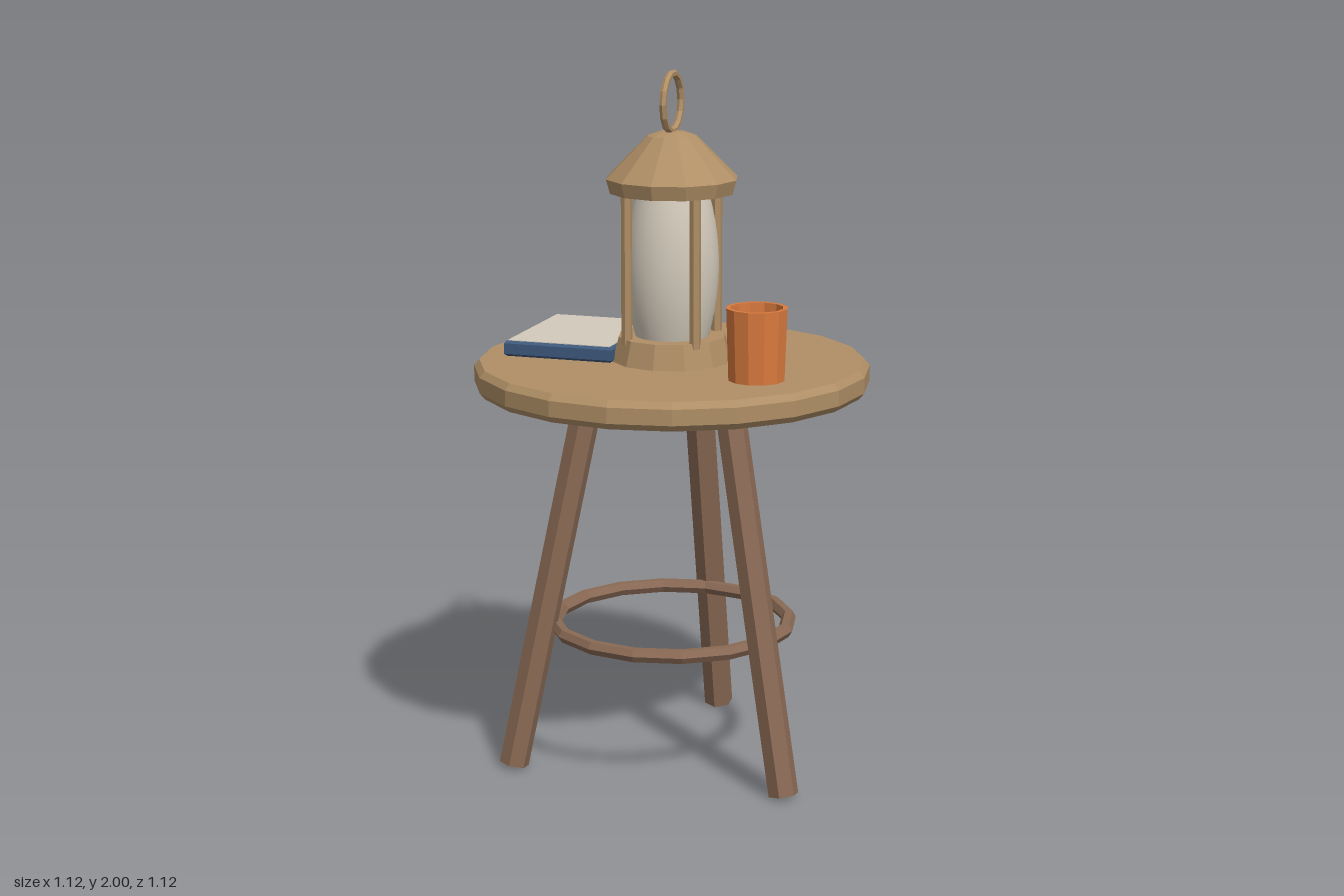
import * as THREE from 'three';

function material(name, color, flatShading = true) {
  const m = new THREE.MeshStandardMaterial({ color, flatShading });
  m.name = name;
  return m;
}

// Turned solid from a [radius, height] profile listed from the bottom up
function turned(profile, sides) {
  return new THREE.LatheGeometry(profile.map(([r, y]) => new THREE.Vector2(r, y)), sides);
}

export function createModel() {
  const model = new THREE.Group();
  model.name = 'sideTableWithLantern';
  const tan = material('tan', 0xb08f66);
  const brown = material('brown', 0x8a6a55);
  const orange = material('orange', 0xda7a3e);
  const navy = material('navy', 0x3f5a7d);
  const cream = material('cream', 0xd3cabb, false);

  function add(parent, name, geometry, mat, x = 0, y = 0, z = 0) {
    const mesh = new THREE.Mesh(geometry, mat);
    mesh.name = name;
    mesh.position.set(x, y, z);
    parent.add(mesh);
    return mesh;
  }

  // Table top with chamfered rim
  add(model, 'tableTop', turned(
    [[0, 1.105], [0.545, 1.105], [0.56, 1.123], [0.56, 1.167], [0.545, 1.185], [0, 1.185]], 20), tan);

  // Three splayed hexagonal legs
  const footR = 0.467, topR = 0.232, footY = 0.009, topY = 1.12;
  const run = footR - topR, rise = topY - footY;
  for (let i = 0; i < 3; i++) {
    const side = new THREE.Group();
    side.name = 'legMount';
    side.rotation.y = Math.PI / 3 + i * Math.PI * 2 / 3;
    model.add(side);
    const leg = add(side, 'leg', new THREE.CylinderGeometry(0.043, 0.043, Math.hypot(run, rise), 6),
      brown, 0, (footY + topY) / 2, (footR + topR) / 2);
    leg.rotation.x = -Math.atan2(run, rise);
  }

  // Ring joining the legs
  const brace = add(model, 'legRing', new THREE.TorusGeometry(0.34, 0.021, 6, 16), brown, 0, 0.413, 0);
  brace.rotation.x = Math.PI / 2;

  // Lantern
  const lantern = new THREE.Group();
  lantern.name = 'lantern';
  model.add(lantern);
  add(lantern, 'lanternBase', new THREE.CylinderGeometry(0.153, 0.172, 0.07, 12), tan, 0, 1.22, 0);
  const glass = [];
  for (let i = 0; i <= 10; i++) {
    const t = i / 5 - 1;
    glass.push([0.132 - 0.03 * t * t, 1.455 + 0.21 * t]);
  }
  add(lantern, 'lanternGlass', turned(glass, 24), cream);
  for (const x of [-0.1, 0.1]) {
    for (const z of [-0.1, 0.1]) {
      add(lantern, 'lanternPost', new THREE.CylinderGeometry(0.016, 0.016, 0.43, 6), tan, x, 1.455, z);
    }
  }
  add(lantern, 'lanternRoof', turned(
    [[0, 1.66], [0.176, 1.66], [0.187, 1.7], [0.07, 1.818], [0.035, 1.83], [0, 1.832]], 12), tan);
  const handle = add(lantern, 'lanternHandle', new THREE.TorusGeometry(0.08, 0.0105, 6, 14), tan, 0, 1.91, 0);
  handle.rotation.y = Math.PI / 2;

  // Hollow cup
  add(model, 'cup', turned(
    [[0, 0], [0.079, 0], [0.086, 0.2], [0.073, 0.2], [0.069, 0.02], [0, 0.02]], 12), orange, 0.303, 1.185, 0.186);

  // Book with bevelled cover and a pale top sheet
  const bevel = 0.007, w = 0.324, d = 0.416, h = 0.044;
  const outline = new THREE.Shape();
  const hw = w / 2 - bevel, hd = d / 2 - bevel;
  outline.moveTo(-hw, -hd).lineTo(hw, -hd).lineTo(hw, hd).lineTo(-hw, hd).closePath();
  const cover = new THREE.ExtrudeGeometry(outline, {
    depth: h - 2 * bevel, bevelThickness: bevel, bevelSize: bevel, bevelSegments: 1,
  });
  cover.rotateX(-Math.PI / 2).translate(0, bevel, 0);
  add(model, 'bookCover', cover, navy, -0.303, 1.185, -0.094);
  add(model, 'bookSheet', new THREE.BoxGeometry(w - 0.018, 0.004, d - 0.018), cream, -0.303, 1.229, -0.094);

  return model;
}
